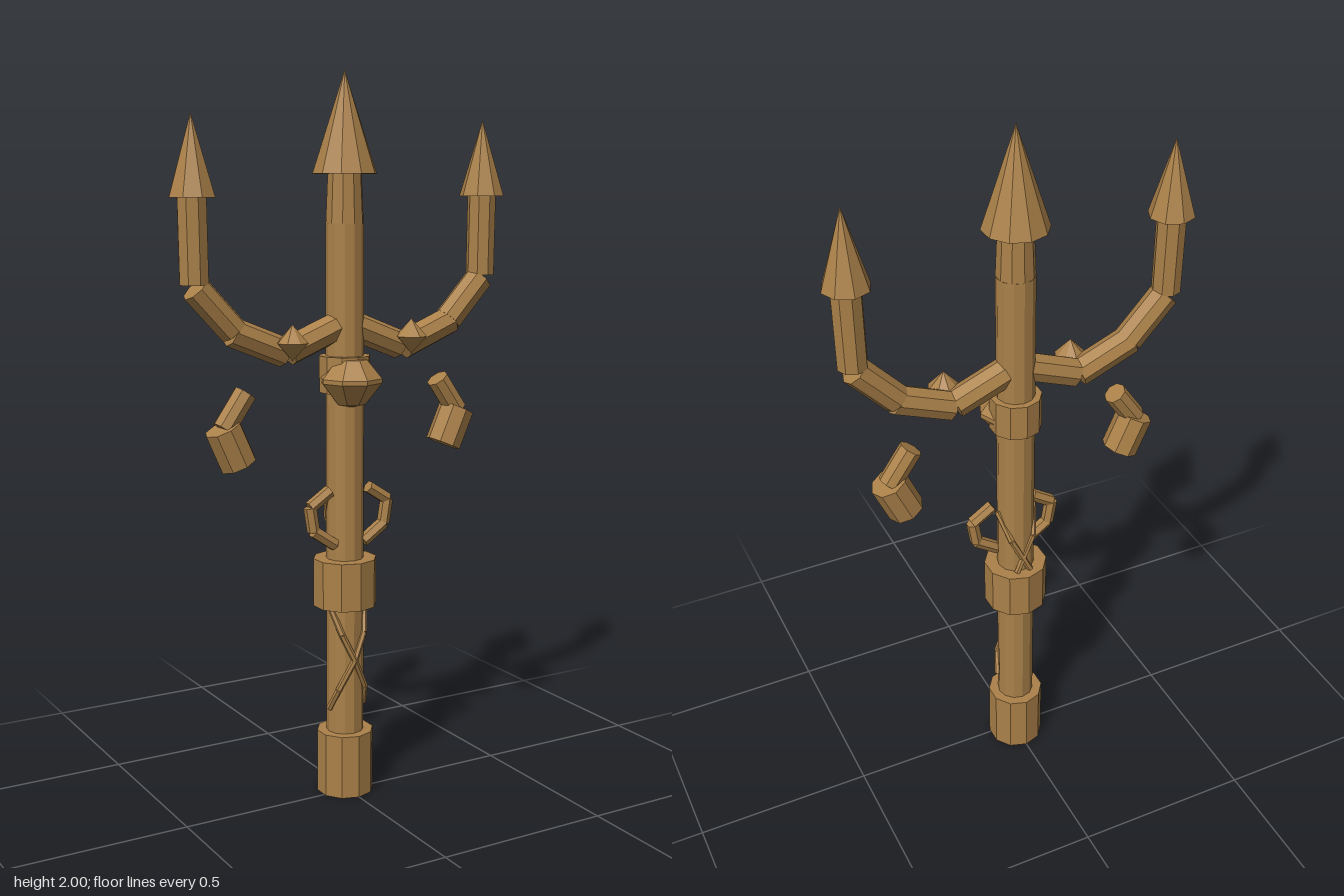
import * as THREE from 'three';

export function createModel() {
  const model = new THREE.Group();
  const bronze = new THREE.MeshStandardMaterial({ color: 0xab8149, flatShading: true });
  bronze.name = 'bronze';
  const Z = -0.016; // depth of the main axis

  const add = (name, geometry, x, y, z) => {
    const mesh = new THREE.Mesh(geometry, bronze);
    mesh.name = name;
    mesh.position.set(x, y, z);
    model.add(mesh);
    return mesh;
  };

  // Upright cylinder or cone between two heights
  const upright = (name, y0, y1, r0, r1, sides, x = 0) =>
    add(name, new THREE.CylinderGeometry(r1, r0, y1 - y0, sides), x, (y0 + y1) / 2, Z);

  // Straight rod between two points
  const rod = (name, a, b, r, sides) => {
    const p = new THREE.Vector3(...a), q = new THREE.Vector3(...b);
    const dir = q.clone().sub(p);
    const mid = p.clone().add(q).multiplyScalar(0.5);
    const mesh = add(name, new THREE.CylinderGeometry(r, r, dir.length(), sides), mid.x, mid.y, mid.z);
    mesh.quaternion.setFromUnitVectors(new THREE.Vector3(0, 1, 0), dir.normalize());
  };

  // Chain of separate rods along a list of points
  const chain = (name, points, r, sides) => {
    for (let i = 1; i < points.length; i++) rod(name, points[i - 1], points[i], r, sides);
  };

  // Staff
  upright('pommel', 0, 0.18, 0.08, 0.08, 10);
  upright('shaft', 0.1, 1.6, 0.052, 0.052, 12);
  upright('gripCollar', 0.545, 0.68, 0.089, 0.089, 10);
  upright('headCollar', 1.145, 1.245, 0.071, 0.071, 10);
  upright('centerNeck', 1.6, 1.74, 0.052, 0.046, 10);
  upright('centerTip', 1.73, 2, 0.088, 0, 10);

  // Faceted centre gem
  const gemProfile = [[0, 1.105], [0.04, 1.115], [0.087, 1.175], [0.087, 1.187], [0.045, 1.237], [0, 1.245]]
    .map(([r, y]) => new THREE.Vector2(r, y));
  add('centerGem', new THREE.LatheGeometry(gemProfile, 8), 0, 0, 0.018);

  for (const s of [1, -1]) {
    // Curved side prong
    chain('prongArm', [[0, 1.335, Z], [s * 0.175, 1.265, Z]], 0.04, 8);
    chain('prongArm', [[s * 0.185, 1.262, Z], [s * 0.34, 1.325, Z]], 0.04, 8);
    chain('prongArm', [[s * 0.335, 1.327, Z], [s * 0.44, 1.44, Z]], 0.04, 8);
    chain('prongArm', [[s * 0.443, 1.45, Z], [s * 0.446, 1.68, Z]], 0.04, 8);
    upright('prongTip', 1.67, 1.88, 0.063, 0, 8, s * 0.445);

    // Small gem on the prong
    const gem = add('prongGem', new THREE.SphereGeometry(0.044, 8, 2), s * 0.185, 1.292, 0.03);
    gem.scale.y = 1.1;

    // Detached hooked ornament
    rod('ornamentStem', [s * 0.302, 1.162, Z], [s * 0.366, 1.07, Z], 0.032, 8);
    rod('ornamentWeight', [s * 0.369, 1.074, Z], [s * 0.324, 0.973, Z], 0.051, 8);

    // Small looped handle
    chain('handle', [[s * 0.061, 0.878, 0.006], [s * 0.122, 0.838, 0.006],
      [s * 0.111, 0.77, 0.006], [s * 0.045, 0.725, 0.006]], 0.018, 6);

    // Crossed cords behind and in front of the shaft
    chain('backCord', [[s * 0.055, 0.87, -0.015], [s * 0.033, 0.79, -0.06], [s * -0.02, 0.68, -0.07]], 0.009, 6);
    chain('frontCord', [[s * 0.055, 0.25, -0.008], [s * 0.042, 0.31, 0.022], [0, 0.395, 0.04],
      [s * -0.035, 0.47, 0.03], [s * -0.055, 0.55, -0.005]], 0.009, 6);
  }
  return model;
}
